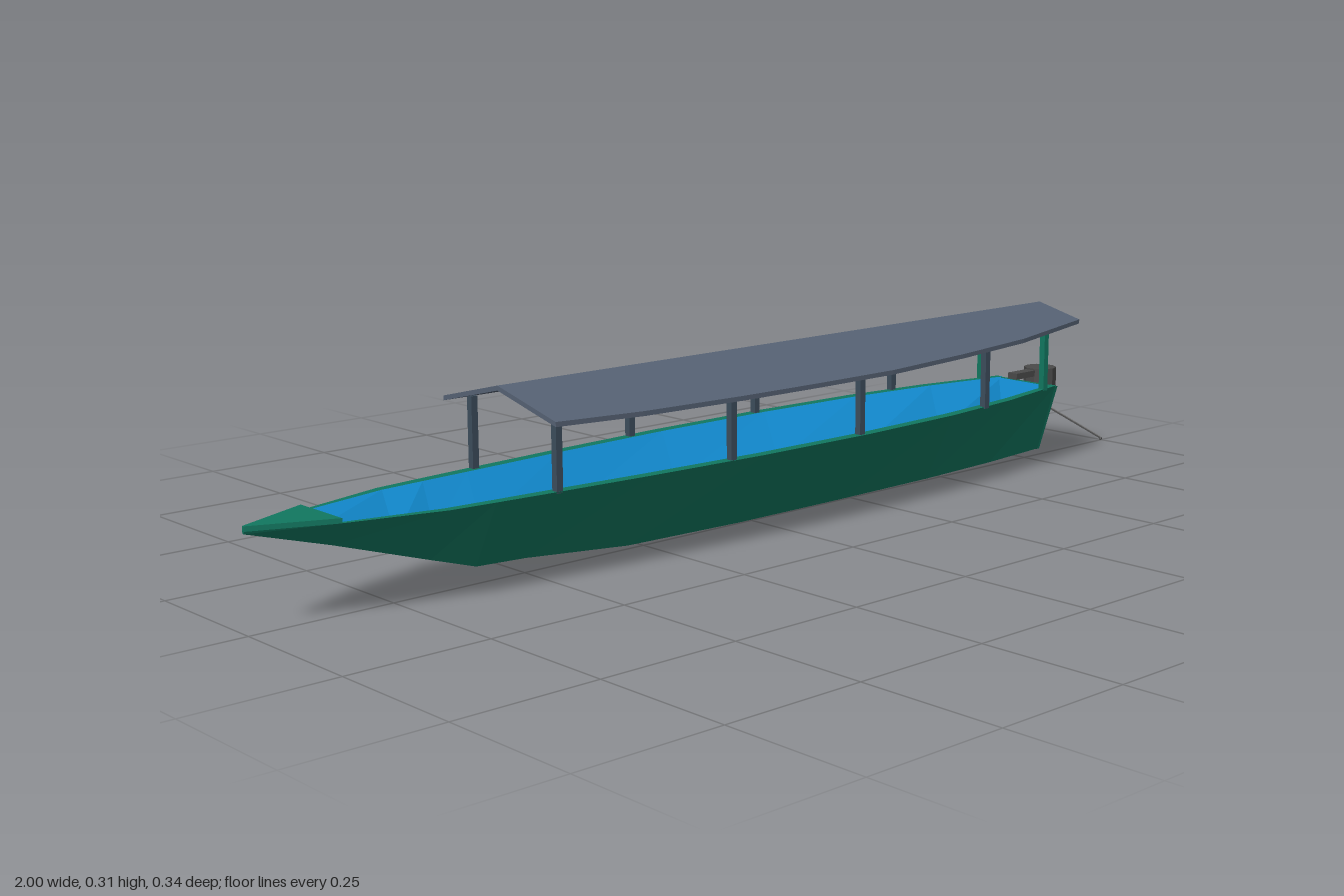
import * as THREE from 'three';

const mat = (color) => new THREE.MeshStandardMaterial({ color, flatShading: true, side: THREE.DoubleSide });

export function createModel() {
  const boat = new THREE.Group();
  boat.name = 'covered longboat';
  const green = mat(0x117860), blue = mat(0x1496e0), brown = mat(0x86592a);
  const slate = mat(0x566274), post = mat(0x3d4d5c), dark = mat(0x4a4a4a), steel = mat(0x8a8a8a);

  const add = (name, geometry, material, parent = boat) => {
    const mesh = new THREE.Mesh(geometry, material);
    mesh.name = name;
    parent.add(mesh);
    return mesh;
  };

  // Faceted skin through a row of cross-sections, each a list of [x, y, z]
  const loft = (rings) => {
    const out = [];
    for (let i = 0; i + 1 < rings.length; i++) {
      for (let j = 0; j + 1 < rings[i].length; j++) {
        const a = rings[i][j], b = rings[i][j + 1], c = rings[i + 1][j], d = rings[i + 1][j + 1];
        out.push(...a, ...c, ...b, ...b, ...c, ...d);
      }
    }
    const g = new THREE.BufferGeometry();
    g.setAttribute('position', new THREE.Float32BufferAttribute(out, 3));
    g.computeVertexNormals();
    return g;
  };

  // Hull stations: x, half width at top, bottom y, half width at bottom, rim width, floor y
  const TOP = 0.157;
  const stations = [
    [-1, 0.003, 0.153, 0.001, 0, 0.155],
    [-0.87, 0.056, 0.118, 0.025, 0.008, 0.128],
    [-0.71, 0.099, 0.069, 0.043, 0.016, 0.088],
    [-0.63, 0.107, 0.045, 0.05, 0.018, 0.08],
    [-0.54, 0.115, 0.043, 0.056, 0.02, 0.076],
    [-0.34, 0.13, 0.029, 0.067, 0.02, 0.073],
    [-0.1, 0.143, 0.028, 0.077, 0.02, 0.073],
    [0.15, 0.145, 0.028, 0.077, 0.02, 0.073],
    [0.38, 0.135, 0.028, 0.073, 0.02, 0.073],
    [0.57, 0.112, 0.028, 0.062, 0.018, 0.073],
    [0.75, 0.075, 0.028, 0.045, 0.014, 0.073],
  ];
  const bottomX = (x) => (x > 0.7 ? x - 0.013 : x);
  const floorHalf = ([, w, yb, b, rim, yf]) => b + (w - b) * (yf - yb) / (TOP - yb) - rim;
  const open = stations.slice(1);

  // Sides, rims and inner lining, mirrored
  for (const s of [1, -1]) {
    const side = s > 0 ? 'left' : 'right';
    add(side + ' hull side', loft(stations.map(([x, w, yb, b]) =>
      [[x, TOP, s * w], [bottomX(x), yb, s * b]])), green);
    add(side + ' gunwale', loft(open.map(([x, w, , , rim]) =>
      [[x, TOP, s * w], [x, TOP, s * (w - rim)]])), green);
    add(side + ' lining', loft(open.map((st) =>
      [[st[0], TOP, s * (st[1] - st[4])], [st[0] - 0.006, st[5], s * floorHalf(st)]])), blue);
  }

  // Floor and closed underside of the bow
  add('floor', loft(open.map((st) =>
    [-1, 1].map((s) => [st[0] - 0.006, st[5], s * (floorHalf(st) + 0.004)]))), brown);
  add('bow underside', loft(stations.slice(0, 4).map(([x, , yb, b]) =>
    [[x, yb, -b], [x, yb, b]])), green);

  // Bow deck
  const deck = new THREE.Shape([[-1, -0.002], [-0.87, -0.057], [-0.87, 0.057], [-1, 0.002]]
    .map(([x, y]) => new THREE.Vector2(x, y)));
  const deckGeo = new THREE.ExtrudeGeometry(deck, { depth: 0.008, bevelEnabled: false });
  deckGeo.rotateX(-Math.PI / 2).translate(0, 0.157, 0);
  add('bow deck', deckGeo, green);

  // Raked transom with a shallow V at the foot
  const board = new THREE.Shape([[-0.075, 0.157], [-0.045, 0.028], [0, 0.018], [0.045, 0.028], [0.075, 0.157]]
    .map(([x, y]) => new THREE.Vector2(x, y)));
  const boardGeo = new THREE.ExtrudeGeometry(board, { depth: 0.01, bevelEnabled: false });
  boardGeo.rotateY(Math.PI / 2).rotateZ(-0.115).translate(0.727, 0, 0);
  add('transom', boardGeo, green);
  add('transom lining', loft([[[0.74, 0.156, -0.063], [0.74, 0.156, 0.063]],
    [[0.731, 0.073, -0.044], [0.731, 0.073, 0.044]]]), blue);

  // Gabled roof: x, half width
  const PITCH = 0.247, THICK = 0.008;
  const roofRow = ([x, w], dy) => [-1, 0, 1].map((s) => [x, 0.312 - dy - Math.abs(s) * w * PITCH, s * w]);
  const roofPlan = [[-0.545, 0.147], [-0.38, 0.161], [-0.17, 0.168], [0.0, 0.17], [0.18, 0.17],
    [0.38, 0.157], [0.57, 0.139], [0.785, 0.1]];
  const roof = new THREE.Group();
  roof.name = 'roof';
  boat.add(roof);
  add('roof top', loft(roofPlan.map((p) => roofRow(p, 0))), slate, roof);
  add('roof underside', loft(roofPlan.map((p) => roofRow(p, THICK))), slate, roof);
  for (const p of [roofPlan[0], roofPlan[roofPlan.length - 1]]) {
    add('gable edge', loft([roofRow(p, 0), roofRow(p, THICK)]), slate, roof);
  }
  for (const k of [0, 2]) {
    add('eave edge', loft(roofPlan.map((p) => [roofRow(p, 0)[k], roofRow(p, THICK)[k]])), slate, roof);
  }

  // Roof posts: x, z
  const posts = [[-0.515, 0.11], [-0.167, 0.131], [0.135, 0.134], [0.485, 0.119], [0.705, 0.079]];
  for (const [x, z] of posts) {
    const h = 0.308 - THICK / 2 - z * PITCH - 0.154;
    for (const s of [1, -1]) {
      add('roof post', new THREE.BoxGeometry(0.012, h, 0.012), x > 0.6 ? green : post)
        .position.set(x, 0.154 + h / 2, s * z);
    }
  }

  // Outboard motor with a long shaft and a small propeller hub
  const motor = new THREE.Group();
  motor.name = 'outboard motor';
  boat.add(motor);
  const profile = [[0, 0.107], [0.013, 0.107], [0.026, 0.118], [0.032, 0.135], [0.032, 0.18], [0, 0.18]]
    .map(([r, y]) => new THREE.Vector2(r, y));
  add('motor housing', new THREE.LatheGeometry(profile, 10), dark, motor).position.x = 0.792;
  add('motor bracket', new THREE.BoxGeometry(0.07, 0.012, 0.022), dark, motor).position.set(0.742, 0.171, 0);
  const from = new THREE.Vector3(0.785, 0.113, 0), to = new THREE.Vector3(0.997, 0.005, 0);
  add('propeller shaft', new THREE.TubeGeometry(new THREE.LineCurve3(from, to), 1, 0.0025, 6), steel, motor);
  add('propeller hub', new THREE.SphereGeometry(0.0035, 6, 4), dark, motor).position.copy(to).setY(0.0035);

  return boat;
}
